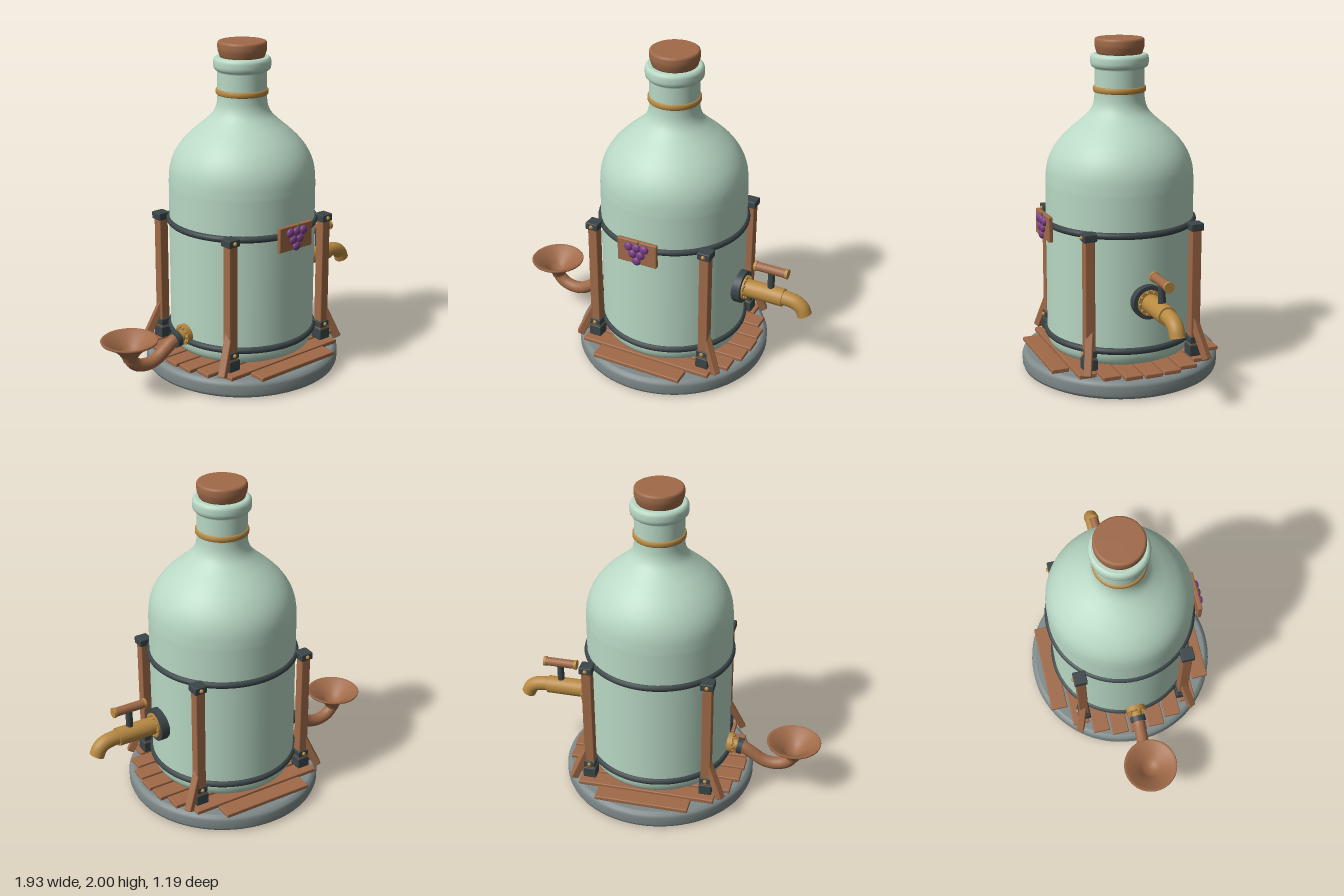
import * as THREE from 'three';
import { RoundedBoxGeometry } from 'three/addons/geometries/RoundedBoxGeometry.js';

const mat = (name, color, side = THREE.FrontSide) => {
  const m = new THREE.MeshStandardMaterial({ color, side });
  m.name = name;
  return m;
};

export function createModel() {
  const glass = mat('pale green glass', 0xb8d8c4);
  const wood = mat('brown wood', 0xa06a48, THREE.DoubleSide);
  const brass = mat('brass', 0xb88a42, THREE.DoubleSide);
  const iron = mat('dark iron', 0x3b4548);
  const stone = mat('grey stone', 0x7f8a8a);
  const purple = mat('grape purple', 0x7a3f85);
  const green = mat('stem green', 0x5c7a3c);

  const model = new THREE.Group();
  model.name = 'bottleStill';
  const still = new THREE.Group(); // everything shares the bottle axis
  still.name = 'still';
  still.position.x = 0.05;
  model.add(still);

  const add = (name, geo, material, x = 0, y = 0, z = 0, parent = still) => {
    const m = new THREE.Mesh(geo, material);
    m.name = name;
    m.position.set(x, y, z);
    parent.add(m);
    return m;
  };
  const v2 = pts => pts.map(p => new THREE.Vector2(...p));
  const v3 = pts => pts.map(p => new THREE.Vector3(...p));
  const lathe = (pts, seg = 64) => new THREE.LatheGeometry(v2(pts), seg);
  const box = (w, h, d, r = 0.006) => new RoundedBoxGeometry(w, h, d, 2, r);
  // cylinder lying along x
  const rod = (r, len, seg = 32) => new THREE.CylinderGeometry(r, r, len, seg).rotateZ(Math.PI / 2);

  // Stone base
  add('base', lathe([[0, 0], [0.565, 0], [0.57, 0.001], [0.588, 0.012], [0.595, 0.03], [0.595, 0.08],
    [0.588, 0.098], [0.57, 0.109], [0.565, 0.11], [0, 0.11]], 72), stone);

  // Plank floor
  const halfLengths = [0.555, 0.545, 0.505, 0.425, 0.29];
  for (let i = -4; i <= 4; i++)
    add('plank', box(halfLengths[Math.abs(i)] * 2, 0.026, 0.106), wood, 0, 0.122, i * 0.1195);

  // Bottle with a smooth shoulder
  const shoulder = new THREE.SplineCurve(v2([[0.44, 1.16], [0.432, 1.25], [0.405, 1.33], [0.355, 1.405],
    [0.29, 1.47], [0.225, 1.525], [0.175, 1.575], [0.152, 1.625], [0.146, 1.68]])).getPoints(32);
  add('bottle', lathe([[0, 0.137], [0.37, 0.137], [0.385, 0.138], [0.418, 0.155], [0.435, 0.185], [0.44, 0.22],
    [0.44, 1.15], ...shoulder.map(p => [p.x, p.y]), [0.146, 1.82], [0.147, 1.83], [0.16, 1.834], [0.168, 1.845],
    [0.17, 1.86], [0.17, 1.885], [0.166, 1.9], [0.155, 1.908], [0.15, 1.909], [0, 1.909]]), glass);
  add('cork', lathe([[0, 1.9], [0.128, 1.9], [0.135, 1.92], [0.143, 1.945], [0.145, 1.96], [0.145, 1.985],
    [0.142, 1.996], [0.135, 2], [0.13, 2], [0, 2]], 48), wood);
  add('neckRing', lathe([[0.145, 1.688], [0.15, 1.688], [0.155, 1.694], [0.156, 1.705], [0.155, 1.716],
    [0.15, 1.722], [0.145, 1.722]]), brass);

  // Iron hoops
  for (const y of [0.93, 0.24])
    add('hoop', new THREE.TorusGeometry(0.437, 0.021, 12, 72).rotateX(Math.PI / 2), iron, 0, y);

  // Corner posts with clamps, rivets and splayed braces
  for (const sx of [-1, 1]) for (const sz of [-1, 1]) {
    const x = sx * 0.365, z = sz * 0.33;
    const post = new THREE.Group();
    post.name = 'cornerPost';
    still.add(post);
    add('post', box(0.06, 0.8, 0.06), wood, x, 0.535, z, post);
    add('topClamp', box(0.08, 0.045, 0.08), iron, x, 0.932, z, post);
    add('lowerClamp', box(0.074, 0.042, 0.074), iron, x, 0.24, z, post);
    add('foot', box(0.08, 0.07, 0.08), iron, x, 0.175, z, post);
    add('topRivet', new THREE.SphereGeometry(0.013, 12, 8), brass, x, 0.932, z + sz * 0.04, post);
    add('lowerRivet', new THREE.SphereGeometry(0.013, 12, 8), brass, x, 0.24, z + sz * 0.037, post);
    const a = new THREE.Vector3(sx * 0.365, 0.375, sz * 0.325);
    const b = new THREE.Vector3(sx * 0.465, 0.135, sz * 0.375);
    const brace = add('brace', box(0.045, a.distanceTo(b), 0.045), wood, 0, 0, 0, post);
    brace.position.copy(a).add(b).multiplyScalar(0.5);
    const up = a.clone().sub(b).normalize();
    const side = new THREE.Vector3(-sz * 0.5, 0, sx).normalize();
    side.addScaledVector(up, -side.dot(up)).normalize();
    brace.quaternion.setFromRotationMatrix(
      new THREE.Matrix4().makeBasis(side, up, side.clone().cross(up)));
  }

  // Ring of bolt heads facing along x
  const bolts = (x, y, r, parent) => {
    for (let i = 0; i < 10; i++) {
      const t = i / 10 * Math.PI * 2;
      add('bolt', new THREE.SphereGeometry(0.009, 8, 6), brass, x, y + r * Math.sin(t), r * Math.cos(t), parent);
    }
  };

  // Tap on the left side
  const tap = new THREE.Group();
  tap.name = 'tap';
  model.add(tap);
  add('tapFlange', rod(0.1, 0.056, 40), iron, 0.503, 0.54, 0, tap);
  add('tapRing', rod(0.076, 0.012), brass, 0.536, 0.54, 0, tap);
  bolts(0.543, 0.54, 0.065, tap);
  add('tapBody', rod(0.055, 0.245), brass, 0.6575, 0.54, 0, tap);
  const spout = new THREE.CatmullRomCurve3(v3([[0.76, 0.54, 0], [0.81, 0.54, 0], [0.86, 0.53, 0],
    [0.897, 0.503, 0], [0.917, 0.46, 0]]));
  add('spout', new THREE.TubeGeometry(spout, 28, 0.045, 24), brass, 0, 0, 0, tap);
  add('valveStem', new THREE.CylinderGeometry(0.021, 0.021, 0.13, 20), iron, 0.695, 0.64, 0, tap);
  add('valveHandle', rod(0.027, 0.2, 24), wood, 0.693, 0.713, 0, tap);
  for (const x of [0.594, 0.792]) add('handleCap', rod(0.031, 0.016, 24), brass, x, 0.713, 0, tap);

  // Filling funnel on the right side
  const filler = new THREE.Group();
  filler.name = 'filler';
  model.add(filler);
  add('fillerFlange', rod(0.063, 0.04), brass, -0.4, 0.28, 0, filler);
  bolts(-0.422, 0.28, 0.05, filler);
  add('fillerNeck', rod(0.034, 0.06), brass, -0.435, 0.272, 0, filler);
  const collar = add('fillerCollar', rod(0.05, 0.034), iron, -0.463, 0.265, 0, filler);
  collar.rotation.z = 0.15;
  const pipe = new THREE.CatmullRomCurve3(v3([[-0.45, 0.27, 0], [-0.49, 0.258, 0], [-0.55, 0.22, 0],
    [-0.61, 0.182, 0], [-0.68, 0.168, 0], [-0.75, 0.185, 0], [-0.79, 0.222, 0], [-0.8, 0.26, 0]]));
  add('fillerPipe', new THREE.TubeGeometry(pipe, 48, 0.039, 24), wood, 0, 0, 0, filler);
  add('funnel', lathe([[0.038, 0.22], [0.046, 0.245], [0.065, 0.275], [0.1, 0.308], [0.14, 0.332], [0.165, 0.347],
    [0.168, 0.355], [0.163, 0.36], [0.15, 0.354], [0.11, 0.33], [0.06, 0.29], [0.036, 0.265], [0, 0.262]], 48),
    wood, -0.8, 0, 0, filler);

  // Sign with a bunch of grapes
  const sign = new THREE.Group();
  sign.name = 'sign';
  still.add(sign);
  add('signBoard', box(0.25, 0.15, 0.026), wood, 0, 0.925, 0.472, sign);
  for (let row = 0; row < 3; row++) for (let i = 0; i < 3 - row; i++) {
    const grape = add('grape', new THREE.SphereGeometry(0.027, 20, 14), purple,
      (i - (2 - row) / 2) * 0.05, 0.96 - row * 0.044, 0.488, sign);
    grape.scale.z = 0.65;
  }
  const stem = add('grapeStem', new THREE.CylinderGeometry(0.004, 0.004, 0.035, 8), green, 0.008, 0.99, 0.489, sign);
  stem.rotation.z = -0.4;

  return model;
}
